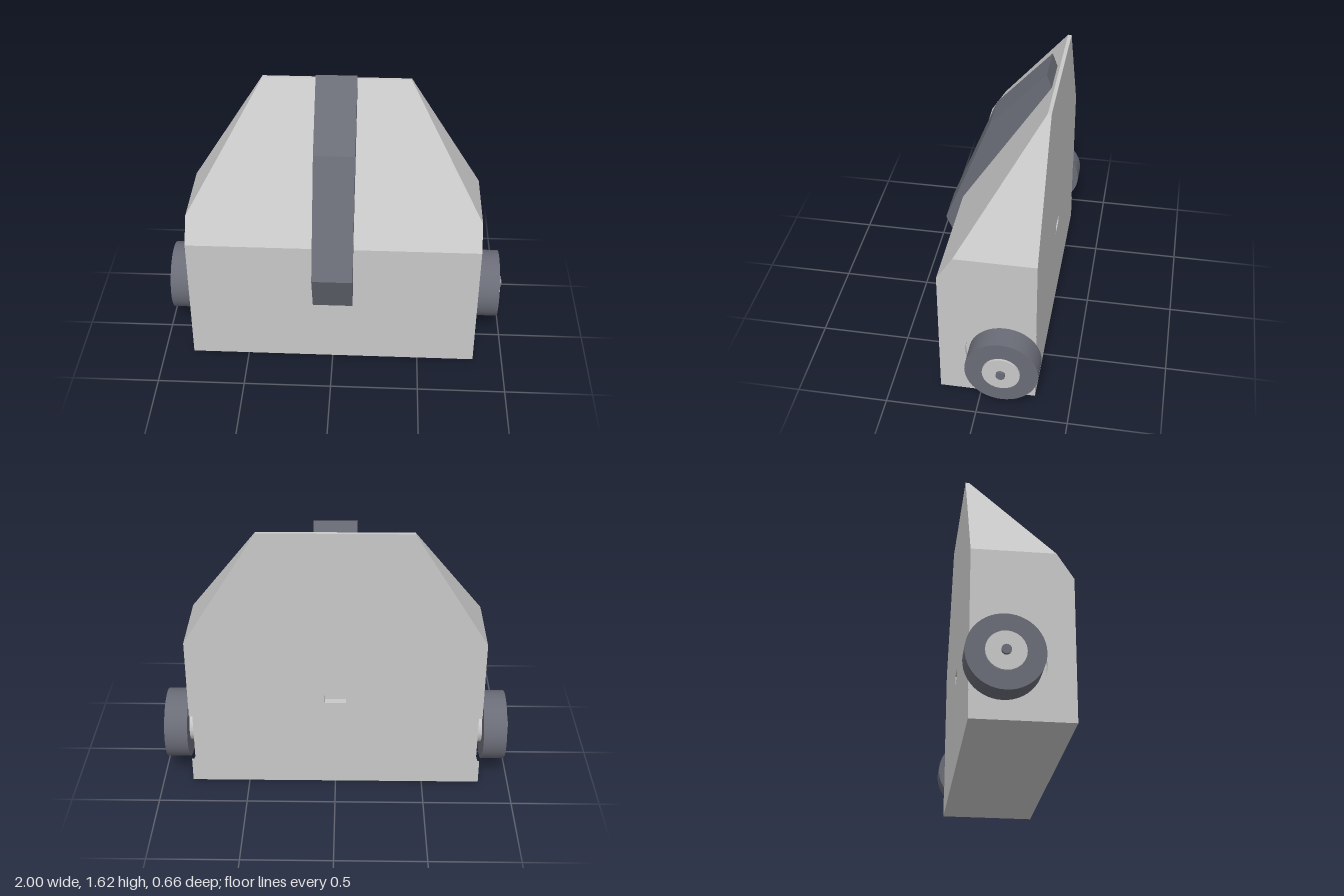
import * as THREE from 'three';

const AXLE_Y = 0.295, AXLE_Z = -0.135, BACK = -0.3;
const CORE = 0.81, SIDE = 0.83; // half widths inside and outside the side panels

// Flat-shaded faces from four-cornered loops
function quads(list) {
  const pos = [];
  for (const [a, b, c, d] of list) pos.push(...a, ...b, ...c, ...a, ...c, ...d);
  const g = new THREE.BufferGeometry();
  g.setAttribute('position', new THREE.Float32BufferAttribute(pos, 3));
  g.computeVertexNormals();
  return g;
}

const shapeOf = (pts) => new THREE.Shape(pts.map(([a, b]) => new THREE.Vector2(a, b)));

// Side profile given as [z, y], extruded along x around a centre
function acrossX(pts, width, centre = 0) {
  const g = new THREE.ExtrudeGeometry(shapeOf(pts), { depth: width, bevelEnabled: false });
  return g.translate(0, 0, -width / 2).rotateY(-Math.PI / 2).translate(centre, 0, 0);
}

export function createModel() {
  const model = new THREE.Group();
  const shell = new THREE.MeshStandardMaterial({ color: 0xc8c8c8 });
  shell.name = 'light grey shell';
  const dark = new THREE.MeshStandardMaterial({ color: 0x6a6c77 });
  dark.name = 'dark slate';

  const add = (name, geometry, material, parent = model) => {
    const mesh = new THREE.Mesh(geometry, material);
    mesh.name = name;
    parent.add(mesh);
    return mesh;
  };

  // Body: underside, front, sloped front and top, as strips of [half width, y, z]
  const faces = [];
  const strips = [
    [[CORE, 0, BACK], [CORE, 0, 0.23], [CORE, 0.78, 0.23], [CORE, 0.92, 0.141]],
    [[SIDE, 0.92, 0.141], [0.415, 1.58, -0.28], [0.415, 1.58, BACK]],
  ];
  for (const s of strips) {
    for (let i = 0; i + 1 < s.length; i++) {
      const [w0, y0, z0] = s[i], [w1, y1, z1] = s[i + 1];
      faces.push([[-w0, y0, z0], [w0, y0, z0], [w1, y1, z1], [-w1, y1, z1]]);
    }
  }
  // Sloping shoulders
  for (const m of [1, -1]) {
    const q = [[SIDE * m, 0.92, 0.141], [SIDE * m, 0.92, BACK], [0.415 * m, 1.58, BACK], [0.415 * m, 1.58, -0.28]];
    faces.push(m > 0 ? q : q.reverse());
  }
  add('bodyShell', quads(faces), shell);

  // Back panel with a small slot
  const slot = [[0.06, 0.54], [-0.06, 0.54], [-0.06, 0.59], [0.06, 0.59]];
  const back = shapeOf([
    [-CORE, 0], [CORE, 0], [CORE, 0.92], [SIDE, 0.92],
    [0.415, 1.58], [-0.415, 1.58], [-SIDE, 0.92], [-CORE, 0.92],
  ]);
  back.holes.push(new THREE.Path(slot.map(([x, y]) => new THREE.Vector2(x, y))));
  add('backPanel', new THREE.ShapeGeometry(back).rotateY(Math.PI).translate(0, 0, BACK), shell);

  const inner = BACK + 0.04;
  const slotFaces = [slot.map(([x, y]) => [x, y, inner])];
  slot.forEach((c, i) => {
    const n = slot[(i + 1) % 4];
    slotFaces.push([[...c, BACK], [...n, BACK], [...n, inner], [...c, inner]]);
  });
  add('backSlot', quads(slotFaces), shell);

  // Side panels with a shallow round recess that runs out at the back edge
  const profile = [[BACK, 0], [0.23, 0], [0.23, 0.78], [0.141, 0.92], [BACK, 0.92]];
  const radius = 0.22, a = Math.acos((BACK - AXLE_Z) / radius), steps = 40;
  const notched = [...profile];
  for (let i = 0; i <= steps; i++) {
    const t = a - (2 * a * i) / steps;
    notched.push([AXLE_Z + radius * Math.cos(t), AXLE_Y + radius * Math.sin(t)]);
  }

  for (const m of [1, -1]) {
    const label = m > 0 ? 'left' : 'right';
    add(label + 'RecessFloor', acrossX(profile, 0.01, m * (CORE - 0.005)), shell);
    add(label + 'SidePanel', acrossX(notched, SIDE - CORE, m * (SIDE + CORE) / 2), shell);

    // Wheel, hub and axle pin
    const wheel = new THREE.Group();
    wheel.name = label + 'Wheel';
    wheel.position.set(0, AXLE_Y, AXLE_Z);
    model.add(wheel);
    const disc = (name, r, x0, x1, sides, material) => add(name,
      new THREE.CylinderGeometry(r, r, x1 - x0, sides).rotateZ(Math.PI / 2).translate(m * (x0 + x1) / 2, 0, 0),
      material, wheel);
    disc('tyre', 0.198, 0.842, 0.973, 48, dark);
    disc('hub', 0.102, 0.805, 0.985, 24, shell);
    disc('axlePin', 0.025, 0.96, 1, 16, dark);
  }

  // Raised centre fin following the sloped front
  const fin = [[0.23, 0.38], [0.332, 0.627], [0.07, 1.29], [-0.233, 1.625], [-0.262, 1.545], [0.21, 0.78], [0.21, 0.38]];
  add('centreFin', acrossX(fin, 0.23), dark);

  return model;
}
